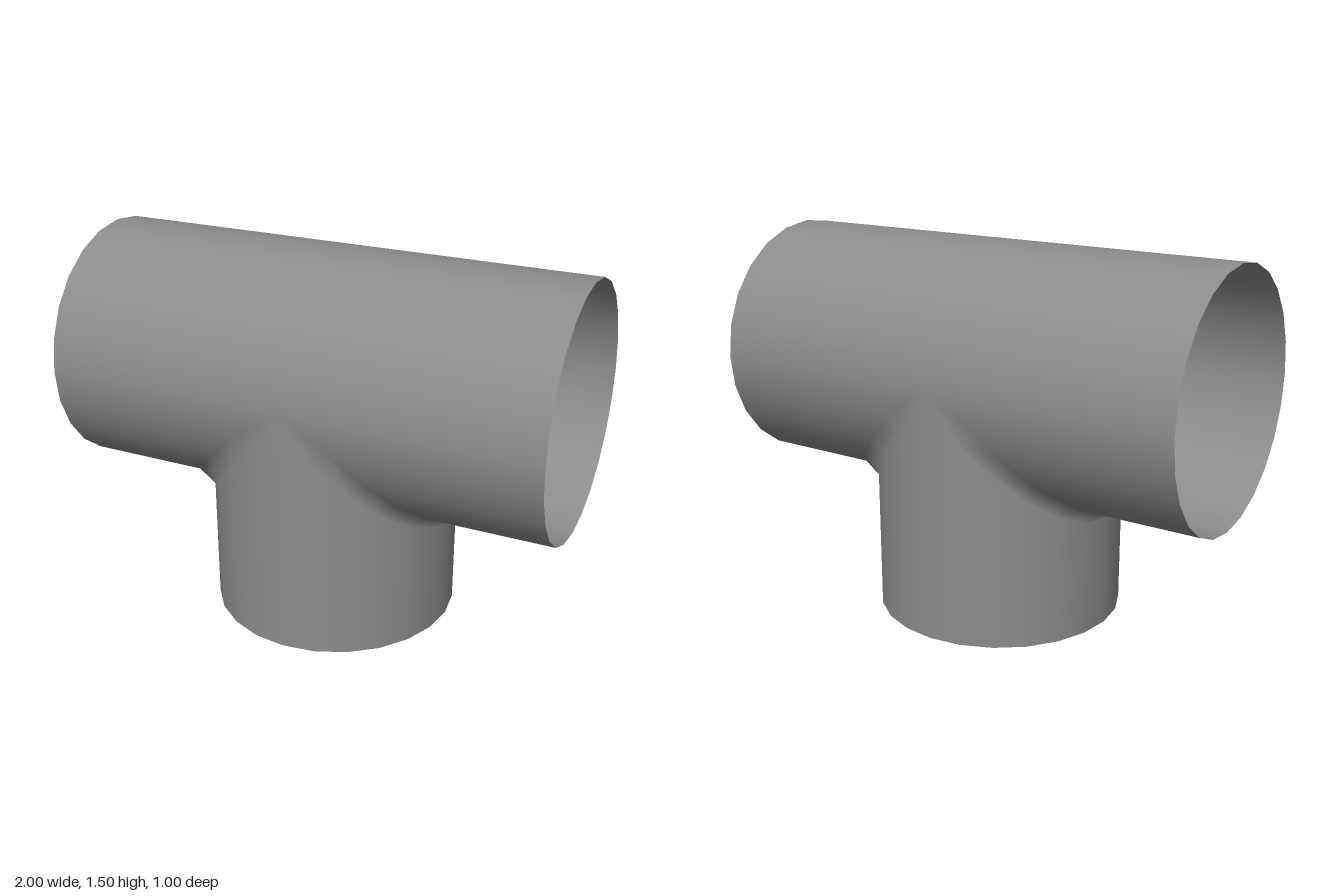
import * as THREE from 'three';
import { mergeGeometries } from 'three/addons/utils/BufferGeometryUtils.js';

const R = 0.5;       // radius of both pipes
const AXIS_Y = 1;    // height of the main pipe's axis
const STEP = Math.PI / 12; // 24 sides

// Width of the weld bevel, fading out where the saddle peaks at front and back
const bevel = (t) => 0.07 * THREE.MathUtils.clamp(Math.cos(t) / 0.25, 0, 1);

// Point and outward normal on the main pipe; t = 0 is its underside
function onMain(t, x) {
  const c = Math.cos(t), s = Math.sin(t);
  return { p: [x, AXIS_Y - R * c, R * s], n: [0, -c, s] };
}

// Point and outward normal on the branch; t = 0 faces sideways
function onBranch(t, y) {
  const c = Math.cos(t), s = Math.sin(t);
  return { p: [R * c, y, R * s], n: [c, 0, s] };
}

const mainEdge = (t) => onMain(t, Math.max(0, R * Math.cos(t)) + bevel(t));
const branchEdge = (t) => onBranch(t, AXIS_Y - R * Math.cos(t) - 0.75 * bevel(t));

// Strip between two edge curves over +x, mirrored to -x when side is -1
function strip(first, count, from, to, side) {
  const pos = [], nor = [], index = [];
  for (let i = 0; i <= count; i++) {
    const t = (first + i) * STEP;
    for (const { p, n } of [from(t), to(t)]) {
      pos.push(p[0] * side, p[1], p[2]);
      nor.push(n[0] * side, n[1], n[2]);
    }
    if (i === count) break;
    const a = 2 * i, b = a + 1, c = a + 2, d = a + 3;
    if (side > 0) index.push(a, c, b, c, d, b);
    else index.push(a, b, c, c, b, d);
  }
  const g = new THREE.BufferGeometry();
  g.setAttribute('position', new THREE.Float32BufferAttribute(pos, 3));
  g.setAttribute('normal', new THREE.Float32BufferAttribute(nor, 3));
  g.setIndex(index);
  return g;
}

export function createModel() {
  const group = new THREE.Group();
  group.name = 'pipeTee';
  const metal = new THREE.MeshStandardMaterial({ color: 0x8c8c8c, side: THREE.DoubleSide });
  metal.name = 'grey metal';

  const addPart = (name, first, count, from, to) => {
    const halves = [1, -1].map((side) => strip(first, count, from, to, side));
    const mesh = new THREE.Mesh(mergeGeometries(halves), metal);
    mesh.name = name;
    group.add(mesh);
  };

  // Open horizontal pipe with the saddle opening cut from its underside
  addPart('mainPipe', -12, 24, (t) => onMain(t, 1), mainEdge);
  // Sloped weld joining the two pipes
  addPart('saddleBevel', -6, 12, mainEdge, branchEdge);
  // Open vertical branch
  addPart('branchPipe', -6, 12, branchEdge, (t) => onBranch(t, 0));

  return group;
}
